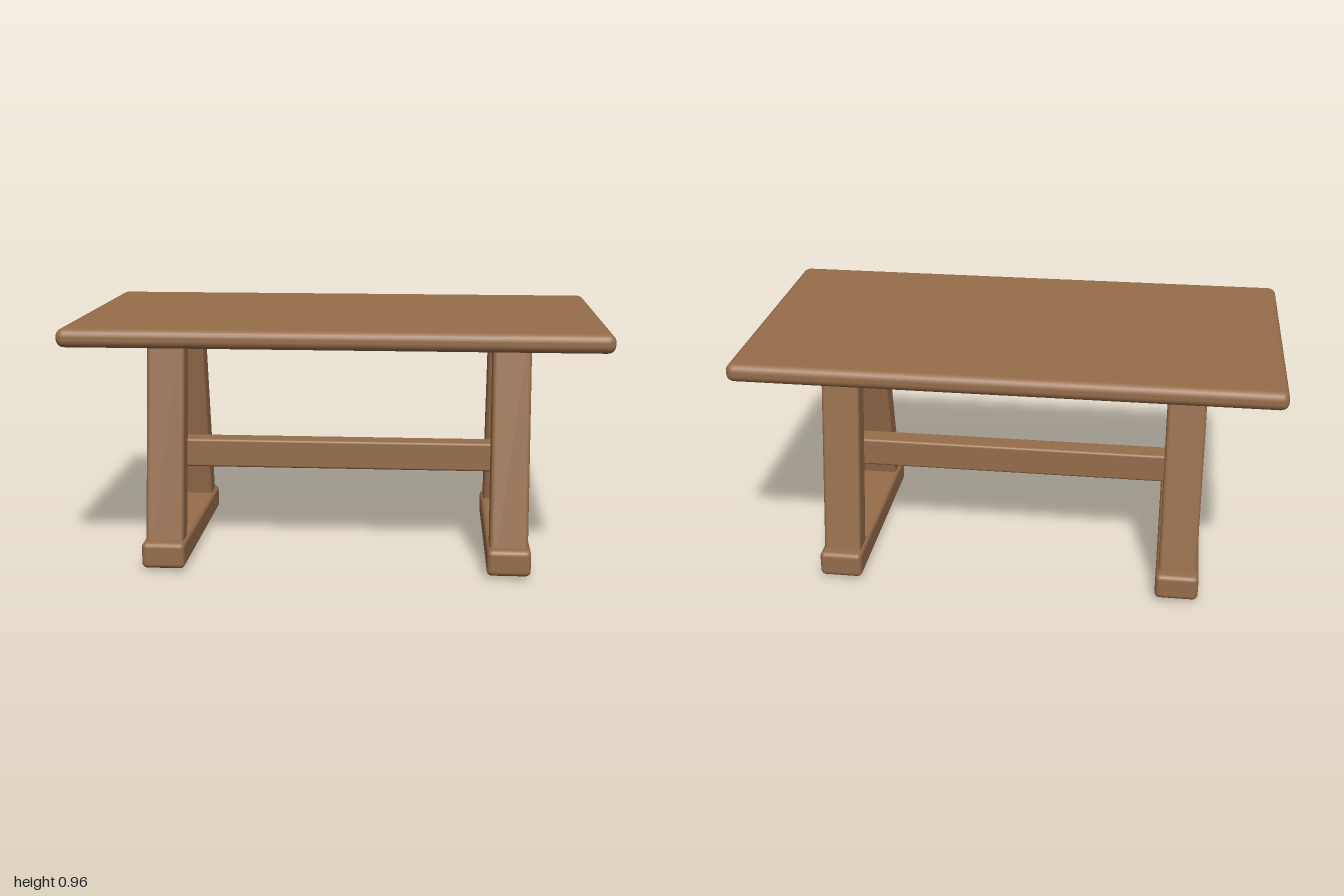
import * as THREE from 'three';
import { RoundedBoxGeometry } from 'three/addons/geometries/RoundedBoxGeometry.js';

export function createModel() {
  const table = new THREE.Group();
  table.name = 'trestleTable';

  const wood = new THREE.MeshStandardMaterial({ color: 0x966d4a });
  wood.name = 'brown wood';

  // Softly rounded timber, added to the table
  function beam(name, size, position, radius) {
    const mesh = new THREE.Mesh(new RoundedBoxGeometry(...size, 3, radius), wood);
    mesh.name = name;
    mesh.position.set(...position);
    table.add(mesh);
    return mesh;
  }

  beam('tabletop', [2, 0.07, 1.08], [0, 0.921, 0], 0.03);
  beam('stretcher', [1.36, 0.115, 0.088], [0, 0.378, 0], 0.01);

  // Two trestles: a floor beam with a pair of legs leaning inward
  const lean = 0.179;
  for (const [side, sx] of [['left', 1], ['right', -1]]) {
    const x = sx * 0.657;
    beam(side + 'Foot', [0.165, 0.102, 0.84], [x, 0.065, 0], 0.02);
    for (const [end, sz] of [['Front', 1], ['Back', -1]]) {
      const leg = beam(side + end + 'Leg', [0.145, 0.9, 0.098], [x, 0.449, sz * 0.267], 0.015);
      leg.rotation.x = -sz * lean;
    }
  }

  return table;
}
